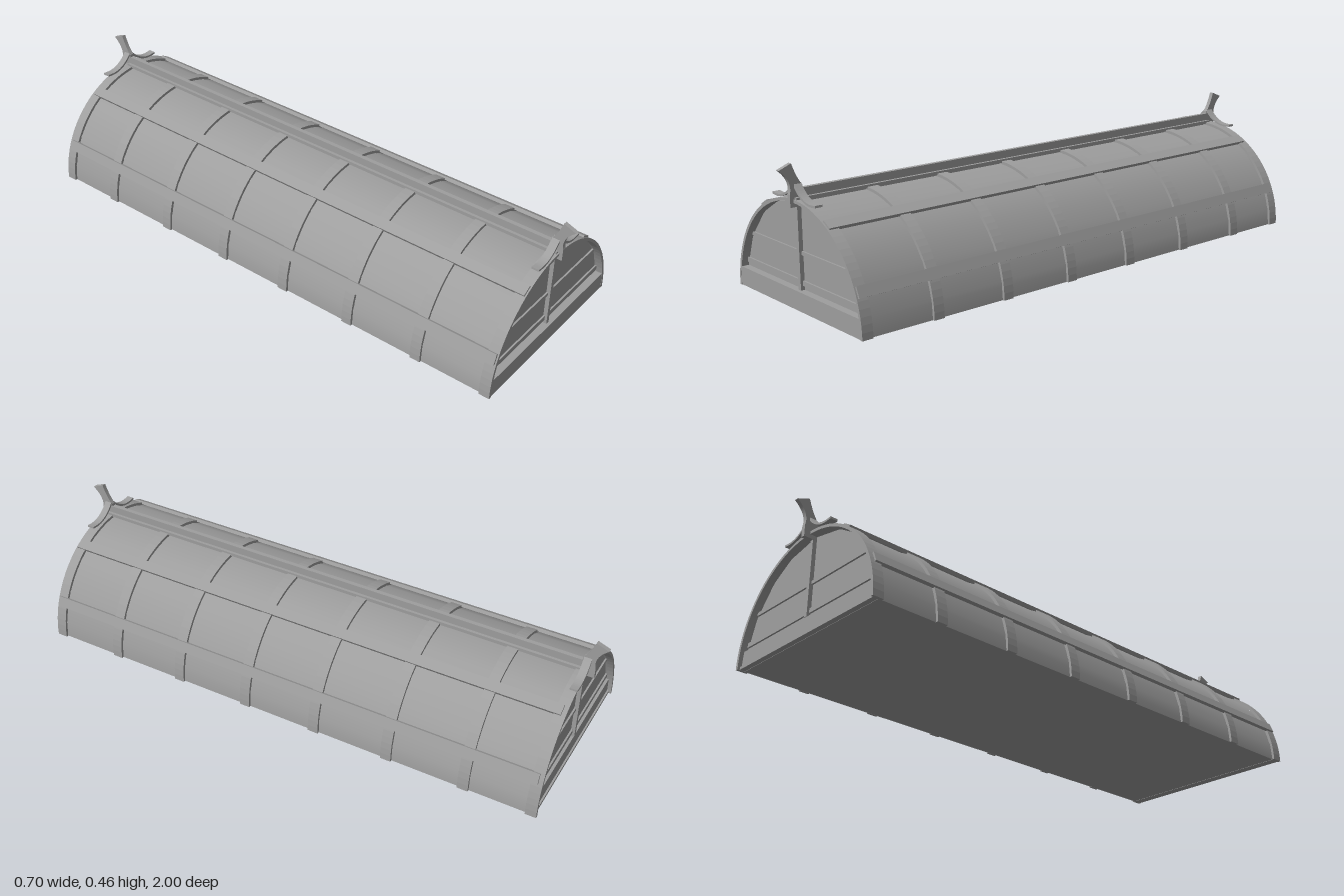
import * as THREE from 'three';

const mat = new THREE.MeshStandardMaterial({ color: 0x9e9e9e });
const matOpen = new THREE.MeshStandardMaterial({ color: 0x9e9e9e, side: THREE.DoubleSide });
const RAD = Math.PI / 180;
const FRONT = 0.955, BACK = -0.945, BASE = 0.004;

export function createModel() {
  const model = new THREE.Group();

  const add = (parent, name, geometry, x = 0, y = 0, z = 0, material = mat) => {
    const mesh = new THREE.Mesh(geometry, material);
    mesh.name = name;
    mesh.position.set(x, y, z);
    parent.add(mesh);
    return mesh;
  };
  const extrude = (shape, depth) =>
    new THREE.ExtrudeGeometry(shape, { depth, bevelEnabled: false, curveSegments: 24 });
  // flat strip of constant thickness that follows a list of points
  const band = (points, t) => {
    const curve = new THREE.SplineCurve(points.map(p => new THREE.Vector2(...p)));
    const a = [], b = [];
    for (let i = 0; i <= 16; i++) {
      const p = curve.getPoint(i / 16), d = curve.getTangent(i / 16);
      a.push(new THREE.Vector2(p.x - d.y * t / 2, p.y + d.x * t / 2));
      b.unshift(new THREE.Vector2(p.x + d.y * t / 2, p.y - d.x * t / 2));
    }
    return new THREE.Shape([...a, ...b]);
  };

  // Faceted arch section shared by the cover and the end walls
  const half = [0, 10, 30, 51, 68, 90];
  const angles = [...half.slice(0, 5).map(a => 180 - a), ...half.slice().reverse()];
  const section = angles.map(a =>
    new THREE.Vector2(0.342 * Math.cos(a * RAD), BASE + 0.341 * Math.sin(a * RAD)));

  // Cover
  const cover = new THREE.PlaneGeometry(1, 1, section.length - 1, 1);
  const pos = cover.attributes.position;
  for (let i = 0; i < pos.count; i++) {
    const p = section[i % section.length];
    pos.setXYZ(i, p.x, p.y, i < section.length ? BACK + 0.02 : FRONT - 0.02);
  }
  cover.computeVertexNormals();
  add(model, 'cover', cover, 0, 0, 0, matOpen);

  // Floor
  add(model, 'floor', new THREE.BoxGeometry(0.68, 0.01, FRONT - BACK - 0.016), 0, BASE + 0.006, 0.005);

  // Hoops
  const hoopShape = new THREE.Shape();
  hoopShape.absellipse(0, BASE, 0.35, 0.35, 0, Math.PI, false, 0);
  hoopShape.lineTo(-0.34, BASE);
  hoopShape.absellipse(0, BASE, 0.34, 0.34, Math.PI, 0, true, 0);
  hoopShape.closePath();
  const hoopGeo = extrude(hoopShape, 0.038);
  for (const z of [BACK, -0.712, -0.435, -0.16, 0.113, 0.387, 0.66, FRONT - 0.038])
    add(model, 'hoop', hoopGeo, 0, 0, z);

  // Long battens
  const battenGeo = new THREE.BoxGeometry(0.036, 0.012, 1.88);
  for (const a of [23, 60, 90, 120, 157]) {
    const batten = add(model, 'batten', battenGeo,
      0.35 * Math.cos(a * RAD), BASE + 0.35 * Math.sin(a * RAD), 0.01);
    batten.rotation.z = (a - 90) * RAD;
  }

  // Ridge beam
  add(model, 'ridgeBeam', new THREE.BoxGeometry(0.015, 0.052, 1.88), 0, 0.36, 0.005);

  // End walls with planks, rails and centre post
  const wallGeo = extrude(new THREE.Shape(section), 0.01);
  for (const s of [1, -1]) {
    const end = new THREE.Group();
    end.name = s > 0 ? 'frontEnd' : 'backEnd';
    const face = s > 0 ? FRONT : -BACK;
    if (s < 0) end.rotation.y = Math.PI;
    const wall = face - 0.026;
    add(end, 'endWall', wallGeo, 0, 0, wall - 0.01);
    const out = s > 0 ? 0.025 : 0.012;
    add(end, 'sillPlank', new THREE.BoxGeometry(0.68, 0.062, out), 0, 0.036, wall + out / 2);
    add(end, 'lowerRail', new THREE.BoxGeometry(0.655, 0.016, 0.006), 0, 0.0885, wall + 0.003);
    add(end, 'upperRail', new THREE.BoxGeometry(0.575, 0.012, 0.006), 0, 0.184, wall + 0.003);
    add(end, 'centrePost', new THREE.BoxGeometry(0.014, 0.275, 0.014), 0, 0.2045, wall + 0.007);

    // Finial: flared upright leaning outward, with a curved arm on each side
    const upright = new THREE.Shape();
    upright.moveTo(0.914, 0.33);
    upright.lineTo(0.966, 0.33);
    upright.lineTo(0.966, 0.37);
    upright.quadraticCurveTo(0.954, 0.412, 1.0, 0.448);
    upright.lineTo(0.957, 0.465);
    upright.quadraticCurveTo(0.942, 0.42, 0.922, 0.395);
    upright.closePath();
    add(end, 'finialUpright', extrude(upright, 0.015), 0.0075).rotation.y = -Math.PI / 2;
    for (const m of [1, -1]) {
      const pts = [[0.003, 0.4], [0.03, 0.373], [0.06, 0.356], [0.09, 0.35], [0.12, 0.352]]
        .map(([x, y]) => [x * m, y]);
      add(end, 'finialArm', extrude(band(pts, 0.007), 0.026), 0, 0, 0.925);
    }
    model.add(end);
  }
  return model;
}
